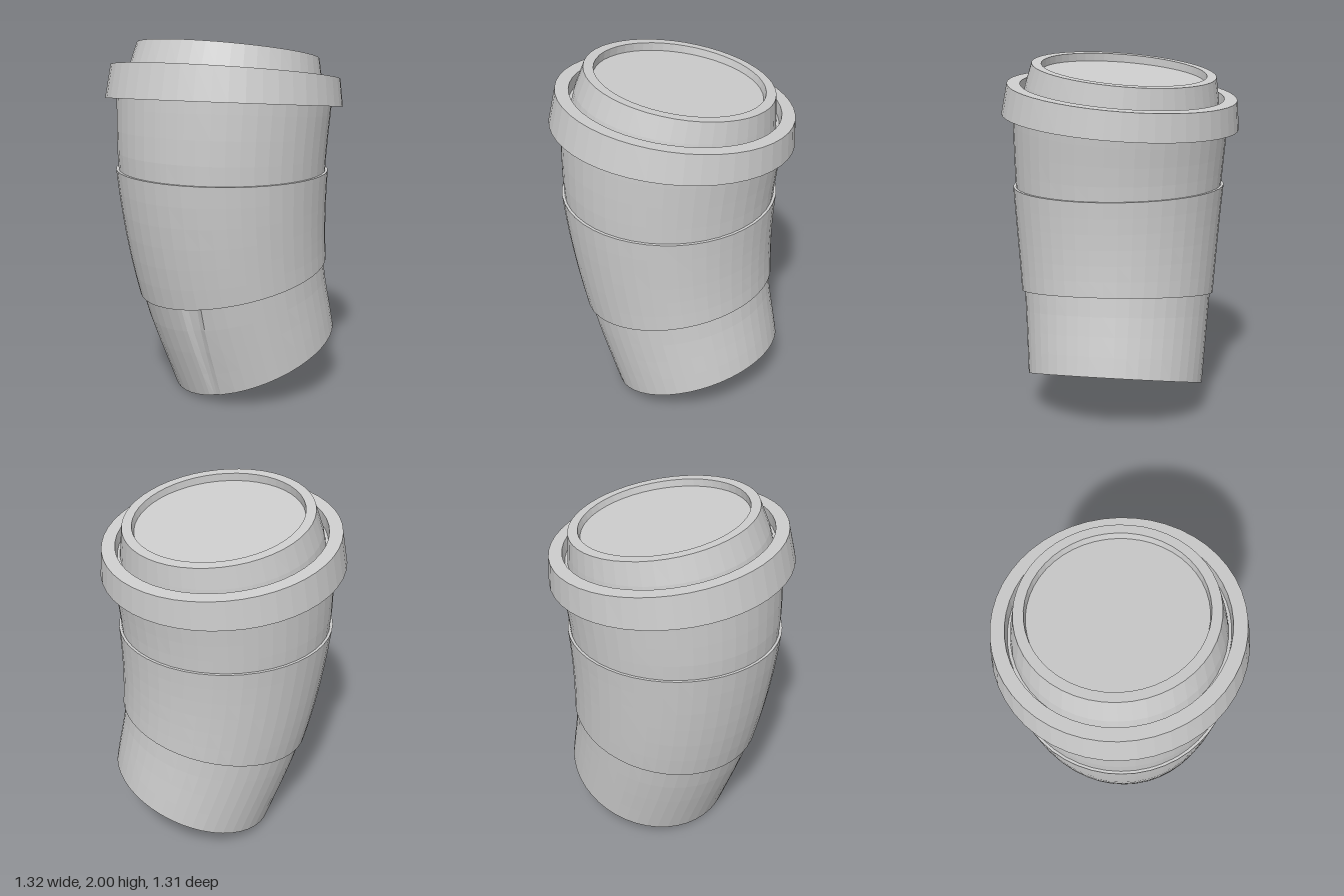
import * as THREE from 'three';

// Bent centre line: per height h, centre x, y, z and the tilt of the cross-section (dy/dx, dy/dz)
const heights = [0, 0.5, 1.13, 1.5, 1.66, 1.775];
const frames = [
  0.095, 0.182, -0.155, 0.2, -0.33,
  0.033, 0.665, -0.037, 0.09, -0.186,
  0.003, 1.28, 0.02, -0.012, -0.004,
  0, 1.645, 0, 0.035, 0.09,
  -0.005, 1.81, -0.017, 0.03, 0.124,
  -0.007, 1.925, -0.04, 0.022, 0.153,
];
const spine = new THREE.CubicInterpolant(heights, frames, 5);

const SIDES = 48;
const evenAngles = Array.from({ length: SIDES }, (_, i) => (i / SIDES) * Math.PI * 2);

// Place a point given in cup coordinates (angle from the front, radius, height)
function place(angle, r, h) {
  const [x, y, z, ax, az] = spine.evaluate(h);
  const n = new THREE.Vector3(-ax, 1, -az).normalize();
  const u = new THREE.Vector3(1, 0, 0).addScaledVector(n, -n.x).normalize();
  const v = new THREE.Vector3().crossVectors(u, n);
  return new THREE.Vector3(x, y, z)
    .addScaledVector(u, r * Math.sin(angle))
    .addScaledVector(v, r * Math.cos(angle));
}

// Revolve a [radius, height] profile around the bent centre line
function bentLathe(profile, angles = evenAngles, rule = (a, r) => [a, r]) {
  const positions = [];
  const index = [];
  const n = angles.length;
  for (const [r, h] of profile) {
    for (const a of angles) {
      const [a2, r2] = rule(a, r, h);
      positions.push(...place(a2, r2, h).toArray());
    }
  }
  for (let i = 0; i < profile.length - 1; i++) {
    for (let j = 0; j < n; j++) {
      const a = i * n + j;
      const b = i * n + ((j + 1) % n);
      if (profile[i][0] > 0) index.push(a, b, a + n);
      if (profile[i + 1][0] > 0) index.push(b, b + n, a + n);
    }
  }
  const geometry = new THREE.BufferGeometry();
  geometry.setAttribute('position', new THREE.Float32BufferAttribute(positions, 3));
  geometry.setIndex(index);
  const flat = geometry.toNonIndexed();
  flat.computeVertexNormals();
  return flat;
}

// Straight wall divided into steps so that it can follow the bend
function wall(r0, h0, r1, h1, steps) {
  return Array.from({ length: steps + 1 }, (_, i) => {
    const t = i / steps;
    return [r0 + (r1 - r0) * t, h0 + (h1 - h0) * t];
  });
}

export function createModel() {
  const group = new THREE.Group();
  const grey = new THREE.MeshStandardMaterial({ color: 0xcccccc, flatShading: true });
  grey.name = 'light grey';
  const add = (name, geometry) => {
    const mesh = new THREE.Mesh(geometry, grey);
    mesh.name = name;
    group.add(mesh);
  };

  // Cup with a recessed base and a paper seam pressed into the lower front
  const seam = [0.19, 0.25, 0.36, 0.42];
  const cupAngles = evenAngles.filter((a) => a < 0.15 || a > 0.5).concat(seam).sort((a, b) => a - b);
  const seamRule = (a, r, h) => {
    if (r < 0.48 || h > 0.6) return [a, r];
    const up = Math.min(h / 0.5, 1);
    const pressed = a === seam[1] || a === seam[2];
    const moved = a === seam[2] || a === seam[3];
    return [moved ? a - 0.08 * (1 - up) : a, pressed ? r - 0.006 - 0.012 * up : r];
  };
  add('cup', bentLathe([
    [0, 0.03], [0.425, 0.03], [0.43, 0],
    ...wall(0.495, 0, 0.53, 0.5, 4),
    ...wall(0.535, 0.61, 0.58, 1.13, 4),
    ...wall(0.585, 1.22, 0.6, 1.56, 3),
  ], cupAngles, seamRule));

  // Sleeve around the middle
  add('sleeve', bentLathe([
    [0.52, 0.5], ...wall(0.546, 0.5, 0.595, 1.13, 6), [0.57, 1.13],
  ]));

  // Lid: overhanging brim, narrow groove, raised crown and sunken top
  add('lid', bentLathe([
    [0.59, 1.54], [0.63, 1.54], [0.635, 1.5], [0.66, 1.5],
    [0.637, 1.66], [0.565, 1.66], [0.56, 1.6], [0.545, 1.6],
    [0.535, 1.66], [0.508, 1.775],
    [0.455, 1.775], [0.45, 1.735], [0, 1.735],
  ]));

  return group;
}
